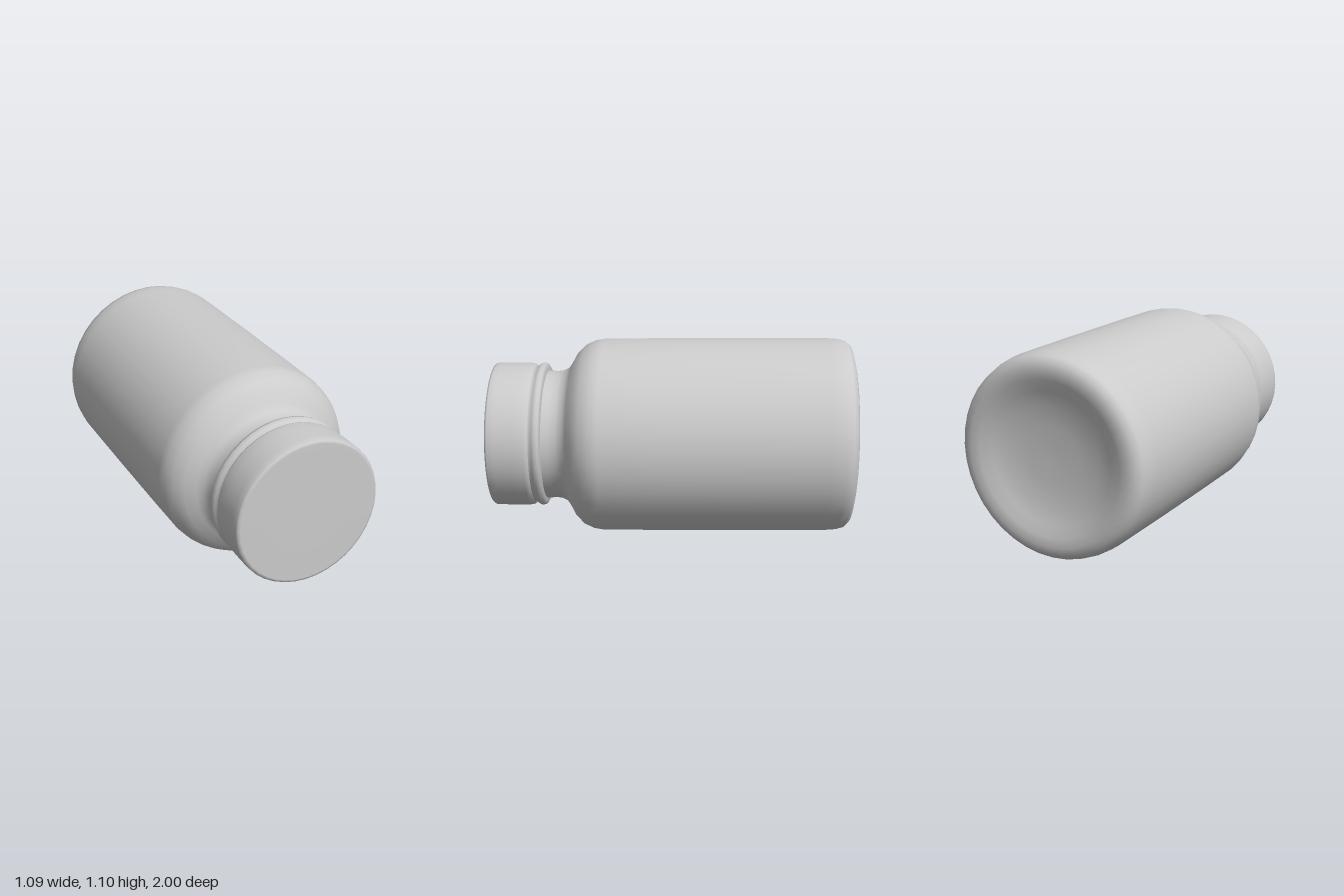
import * as THREE from 'three';

const SEGMENTS = 40;

export function createModel() {
  const bottle = new THREE.Group();
  bottle.name = 'bottle';
  const material = new THREE.MeshStandardMaterial({ color: 0xcccccc, side: THREE.DoubleSide });

  // Turns a [radius, z] profile around the long axis; slope leans it slightly in y
  function turned(name, profile, centreY, slope = 0) {
    const points = profile.map(([r, z]) => new THREE.Vector2(r, z));
    const geometry = new THREE.LatheGeometry(points, SEGMENTS);
    geometry.rotateX(Math.PI / 2);
    const pos = geometry.attributes.position;
    for (let i = 0; i < pos.count; i++) {
      pos.setY(i, pos.getY(i) + centreY + slope * pos.getZ(i));
    }
    const mesh = new THREE.Mesh(geometry, material);
    mesh.name = name;
    bottle.add(mesh);
  }

  // Body: dished base, rounded heel, straight wall, shoulder and neck
  turned('body', [
    [0, -0.93], [0.15, -0.932], [0.27, -0.945], [0.35, -0.97], [0.41, -0.992],
    [0.46, -1], [0.5, -0.99], [0.526, -0.965], [0.538, -0.92], [0.543, -0.85],
    [0.545, -0.4], [0.545, 0.1], [0.543, 0.38], [0.535, 0.43], [0.51, 0.485],
    [0.465, 0.53], [0.41, 0.56], [0.378, 0.585], [0.363, 0.62], [0.36, 0.66],
    [0.365, 0.71],
  ], 0.552, -0.011);

  // Sealing ring under the cap
  turned('sealRing', [
    [0.355, 0.7], [0.385, 0.702], [0.402, 0.712], [0.406, 0.73],
    [0.398, 0.745], [0.388, 0.757], [0.388, 0.77],
  ], 0.547);

  // Cap: straight skirt and flat closed front
  turned('cap', [
    [0.388, 0.765], [0.398, 0.775], [0.404, 0.79], [0.406, 0.85], [0.406, 0.95],
    [0.405, 0.985], [0.398, 0.997], [0.385, 1], [0.2, 1], [0, 1],
  ], 0.546);

  return bottle;
}
